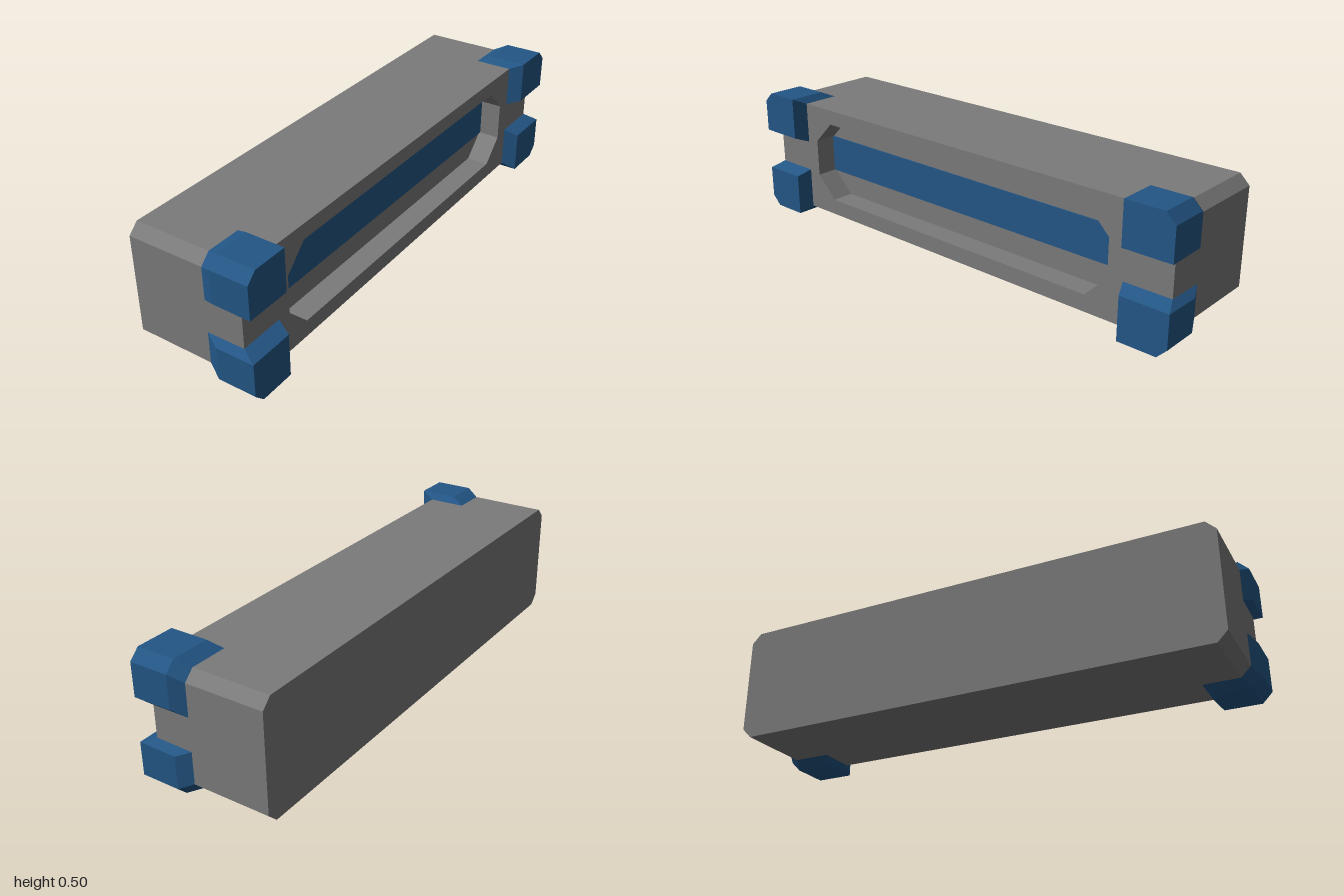
import * as THREE from 'three';
import { ConvexGeometry } from 'three/addons/geometries/ConvexGeometry.js';

const MID_Y = 0.2525;

// Chamfered rectangle in the side plane (shape x runs along -z)
function octagon(PathType, z0, z1, y0, y1, c) {
  const p = [
    [-z1 + c, y0], [-z0 - c, y0], [-z0, y0 + c], [-z0, y1 - c],
    [-z0 - c, y1], [-z1 + c, y1], [-z1, y1 - c], [-z1, y0 + c],
  ].map(([a, b]) => new THREE.Vector2(a, b));
  return new PathType(p);
}

// Extrude a side-plane shape across the width from x0 to x1
function slab(shape, x0, x1) {
  return new THREE.ExtrudeGeometry(shape, { depth: x1 - x0, bevelEnabled: false })
    .rotateY(Math.PI / 2)
    .translate(x0, 0, 0);
}

// Bevelled corner guard wrapping one end corner of the body
function guardGeometry(sy, sz, inner) {
  const points = [
    // flush with the body
    [0.05, 0.317, 0.975], [0.05, 0.442, 0.975], [0.05, 0.48, 0.937],
    [0.05, 0.48, inner], [0.05, 0.317, inner],
    [0.2, 0.48, inner], [0.2, 0.315, inner], [0.2, 0.315, 0.975],
    // raised outer faces
    [0.103, 0.34, 1], [0.103, 0.467, 1], [0.103, 0.505, 0.962], [0.103, 0.505, inner + 0.022],
    [0.255, 0.338, 1], [0.255, 0.467, 1], [0.255, 0.505, 0.962],
    [0.255, 0.505, inner + 0.022], [0.255, 0.337, inner + 0.022],
  ];
  return new ConvexGeometry(points.map(([x, y, z]) =>
    new THREE.Vector3(x, MID_Y + sy * (y - MID_Y), sz * z)));
}

export function createModel() {
  const group = new THREE.Group();
  const grey = new THREE.MeshStandardMaterial({ name: 'grey casing', color: 0x7b7b7b });
  const blue = new THREE.MeshStandardMaterial({ name: 'blue trim', color: 0x235686 });
  const add = (name, geometry, material) => {
    const mesh = new THREE.Mesh(geometry, material);
    mesh.name = name;
    group.add(mesh);
  };

  // Long body, with a frame around the recess on its +x side
  const outline = () => octagon(THREE.Shape, -0.975, 0.975, 0.025, 0.48, 0.038);
  const floorX = 0.11;
  add('body', slab(outline(), -0.255, floorX), grey);
  const frame = outline();
  frame.holes.push(octagon(THREE.Path, -0.725, 0.745, 0.09, 0.42, 0.09));
  add('recessFrame', slab(frame, floorX, 0.2), grey);

  // Stripe along the recess floor
  add('recessStripe',
    new THREE.BoxGeometry(0.008, 0.15, 1.47).translate(floorX + 0.001, 0.255, 0.01), blue);

  // Four corner guards
  for (const [end, sz, inner] of [['front', 1, 0.8], ['back', -1, 0.787]]) {
    for (const [level, sy] of [['Upper', 1], ['Lower', -1]]) {
      add(`${end}${level}Guard`, guardGeometry(sy, sz, inner), blue);
    }
  }
  return group;
}
